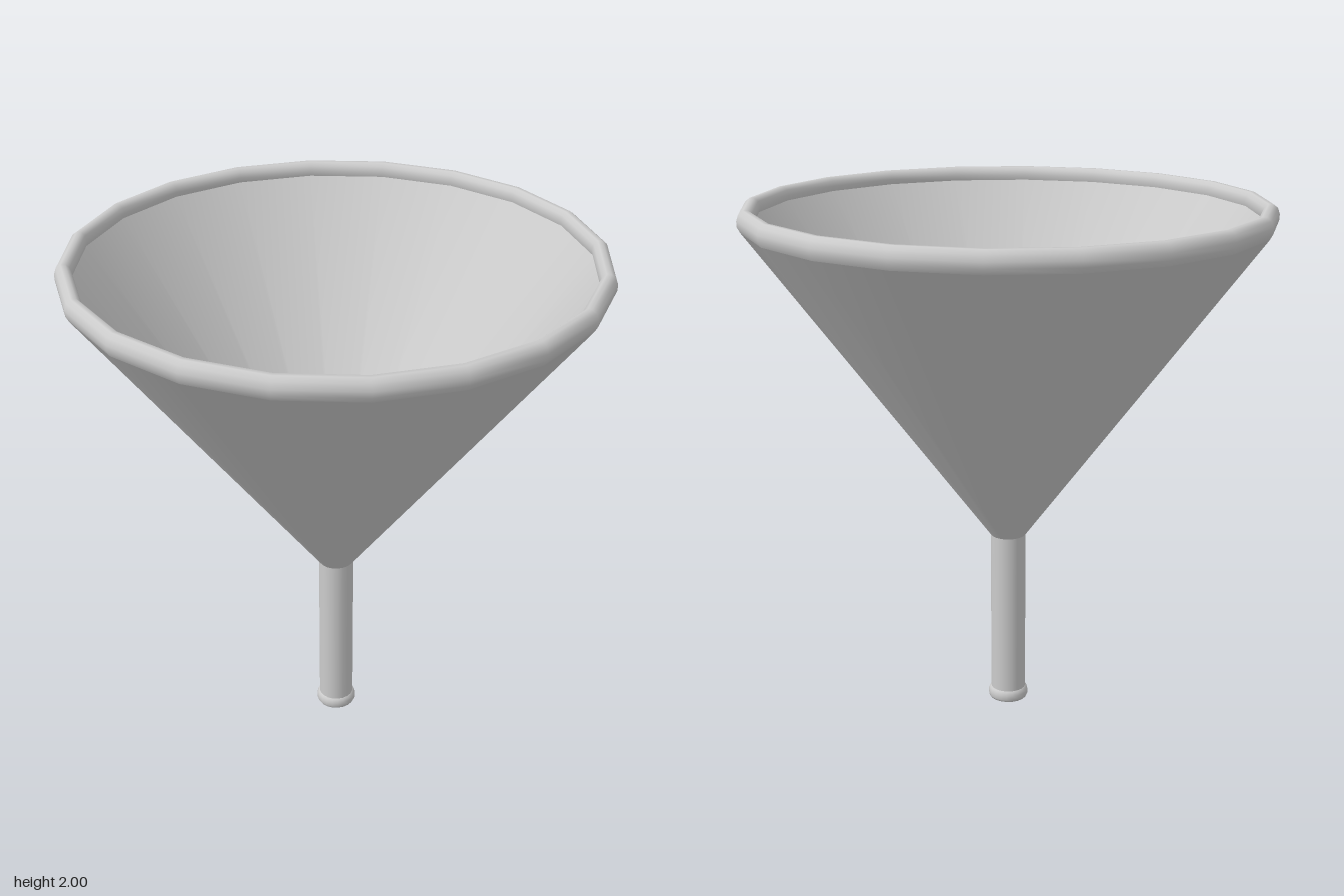
import * as THREE from 'three';

const SIDES = 20;

// Turns a profile of [radius, height] points; upward runs face outward, downward runs face inward
function turned(name, points) {
  const geometry = new THREE.LatheGeometry(points.map(([r, y]) => new THREE.Vector2(r, y)), SIDES);
  const mesh = new THREE.Mesh(geometry, new THREE.MeshStandardMaterial({ color: 0xcccccc, side: THREE.DoubleSide }));
  mesh.name = name;
  return mesh;
}

export function createModel() {
  const funnel = new THREE.Group();
  funnel.name = 'funnel';

  funnel.add(
    // Conical bowl, outside and inside
    turned('bowlOuterWall', [[0.068, 0.7], [0.97, 1.92]]),
    turned('bowlInnerWall', [[0.925, 1.945], [0.06, 0.7]]),

    // Rounded rim rolled over the top of the bowl
    turned('rim', [
      [0.97, 1.92], [0.981, 1.94], [0.982, 1.962], [0.974, 1.985], [0.957, 1.998],
      [0.94, 1.998], [0.926, 1.985], [0.92, 1.965], [0.925, 1.945],
    ]),

    // Straight spout, outside and inside
    turned('spoutOuterWall', [[0.068, 0.04], [0.068, 0.7]]),
    turned('spoutInnerWall', [[0.06, 0.7], [0.06, 0.006]]),

    // Small bead around the outlet
    turned('spoutBead', [
      [0.06, 0.006], [0.064, 0], [0.073, 0.002], [0.078, 0.012], [0.078, 0.028], [0.074, 0.04], [0.068, 0.046],
    ]),
  );
  return funnel;
}
